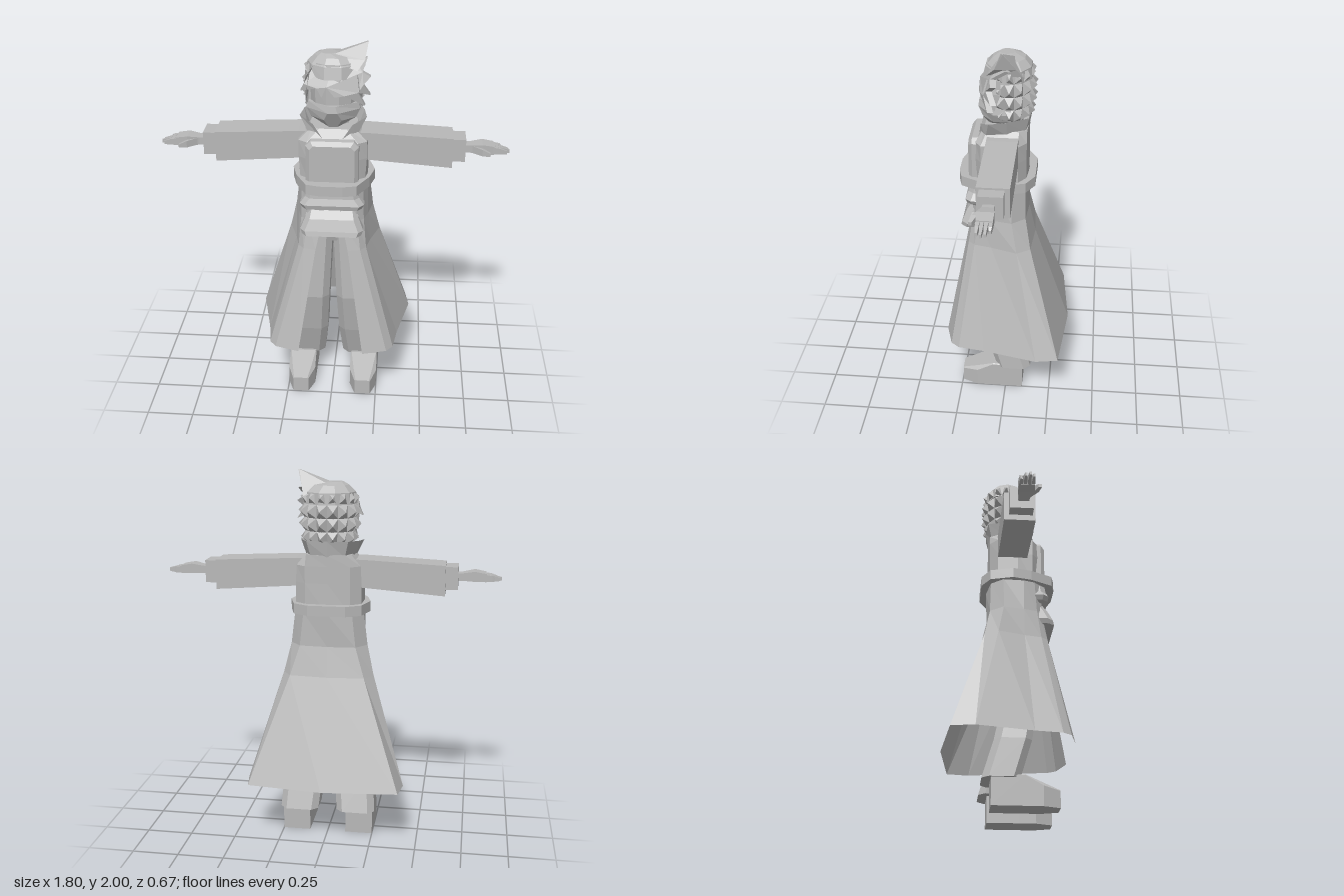
import * as THREE from 'three';

const cloth = new THREE.MeshStandardMaterial({ color: 0xb8b8b8, flatShading: true, side: THREE.DoubleSide });
cloth.name = 'plain grey';

// Skin a list of point rings; optionally close each ring and cap the ends
function loft(rings, closed = true, caps = true) {
  const n = rings[0].length, pos = [], idx = [];
  rings.forEach(r => r.forEach(p => pos.push(...p)));
  for (let j = 0; j < rings.length - 1; j++) {
    for (let i = 0; i < (closed ? n : n - 1); i++) {
      const a = j * n + i, b = j * n + (i + 1) % n;
      idx.push(a, b, b + n, a, b + n, a + n);
    }
  }
  if (caps) {
    const e = (rings.length - 1) * n;
    for (let i = 1; i < n - 1; i++) idx.push(0, i + 1, i, e, e + i, e + i + 1);
  }
  const g = new THREE.BufferGeometry();
  g.setAttribute('position', new THREE.Float32BufferAttribute(pos, 3));
  g.setIndex(idx);
  const flat = g.toNonIndexed();
  flat.computeVertexNormals();
  return flat;
}

// Mirror a half outline (front to back, ending on x = 0) into a whole one
const mirrorHalf = half => [...half.slice(0, -1).map(([x, y, z]) => [-x, y, z]), half.at(-1), ...half.slice(0, -1).reverse()];
const level = (y, half) => mirrorHalf(half.map(([x, z]) => [x, y, z]));

// Horizontal rectangle with chamfered corners
function slab(y, x0, x1, z0, z1, c) {
  return [[x0 + c, y, z1], [x1 - c, y, z1], [x1, y, z1 - c], [x1, y, z0 + c],
    [x1 - c, y, z0], [x0 + c, y, z0], [x0, y, z0 + c], [x0, y, z1 - c]].reverse();
}
// Upright rectangle across the arm
const armRing = (x, y0, y1, z0, z1) => [[x, y0, z0], [x, y1, z0], [x, y1, z1], [x, y0, z1]];
// Horizontal ellipse
function oval(y, rx, rz, zc, n = 12, xc = 0) {
  return Array.from({ length: n }, (_, i) => {
    const a = -(i + 0.5) / n * Math.PI * 2;
    return [xc + rx * Math.sin(a), y, zc + rz * Math.cos(a)];
  });
}

export function createModel() {
  const model = new THREE.Group();
  const add = (name, geo, parent = model) => {
    const m = new THREE.Mesh(geo, cloth);
    m.name = name;
    parent.add(m);
    return m;
  };

  // Long coat skirt, open at the front
  add('coatSkirt', loft([
    level(0.34, [[.175, .333], [.305, .295], [.34, .25], [.36, .11], [.425, -.18], [.405, -.30], [0, -.34]]),
    level(0.92, [[.085, .22], [.15, .205], [.18, .17], [.20, .08], [.245, -.06], [.20, -.13], [0, -.145]]),
    level(1.08, [[.05, .19], [.13, .18], [.165, .15], [.185, .08], [.207, -.03], [.15, -.10], [0, -.11]]),
    level(1.26, [[.03, .185], [.12, .18], [.16, .14], [.18, .08], [.185, -.03], [.13, -.095], [0, -.115]]),
  ], false, false));

  // Coat body
  add('torso', loft([
    level(1.26, [[.11, .165], [.165, .13], [.18, .05], [.175, -.06], [.12, -.10], [0, -.11]]),
    level(1.42, [[.13, .165], [.175, .13], [.18, .05], [.175, -.06], [.12, -.10], [0, -.105]]),
    level(1.51, [[.13, .16], [.175, .13], [.18, .05], [.17, -.06], [.12, -.10], [0, -.105]]),
    level(1.57, [[.07, .12], [.11, .10], [.12, .04], [.12, -.06], [.095, -.10], [0, -.105]]),
  ]));

  // Belt
  const belt = [[.06, .255], [.13, .237], [.19, .12], [.215, .02], [.18, -.10], [.10, -.145], [0, -.145]];
  add('belt', loft([level(1.255, belt), level(1.31, belt)]));

  // Chest plate with bevelled rim
  const plate = (z, w, y0, y1, c) => [[-w, y0, z], [w, y0, z], [w, y1 - c, z], [w - c, y1, z], [c - w, y1, z], [-w, y1 - c, z]];
  add('chestPlate', loft([plate(.11, .14, 1.30, 1.53, .03), plate(.18, .135, 1.31, 1.525, .025), plate(.20, .115, 1.31, 1.505, .02)]));

  // Two rolled pouches below the belt
  const row = (y, w, z) => [[-w, y, .14], [-w, y, z - .03], [-w + .025, y, z], [w - .025, y, z], [w, y, z - .03], [w, y, .14]];
  add('upperPouch', loft([row(1.14, .14, .18), row(1.155, .155, .212), row(1.18, .167, .218), row(1.215, .14, .205), row(1.26, .13, .2)]));
  add('lowerPouch', loft([row(1.015, .155, .245), row(1.04, .165, .238), row(1.10, .14, .215), row(1.15, .13, .18)]));

  // Flared collar, open at the front
  add('collar', loft([
    mirrorHalf([[.045, 1.52, .15], [.12, 1.53, .11], [.125, 1.55, 0], [.09, 1.56, -.09], [0, 1.56, -.105]]),
    mirrorHalf([[.10, 1.60, .135], [.17, 1.63, .09], [.155, 1.635, 0], [.11, 1.645, -.11], [0, 1.645, -.12]]),
  ], false, false));
  add('neck', loft([oval(1.50, .085, .08, 0, 8), oval(1.66, .07, .07, 0, 8)]));

  // Trouser top
  add('trouserTop', loft([slab(.93, -.06, .06, -.04, .13, .02), slab(1.0, -.13, .13, -.07, .15, .03), slab(1.25, -.15, .15, -.08, .15, .03)]));

  // Limbs: built on the left, mirrored for the right
  for (const side of [1, -1]) {
    const limbs = new THREE.Group();
    limbs.name = side > 0 ? 'leftLimbs' : 'rightLimbs';
    limbs.scale.x = side;
    model.add(limbs);

    add('sleeve', loft([armRing(.13, 1.40, 1.545, -.06, .10), armRing(.18, 1.397, 1.545, -.06, .10),
      armRing(.61, 1.365, 1.525, -.06, .10)]), limbs);
    add('cuff', loft([armRing(.58, 1.395, 1.515, -.035, .085), armRing(.675, 1.395, 1.515, -.035, .085)]), limbs);
    add('palm', loft([armRing(.66, 1.435, 1.475, .005, .06), armRing(.70, 1.437, 1.477, .005, .062),
      armRing(.76, 1.435, 1.488, -.003, .08), armRing(.82, 1.435, 1.478, -.003, .075)]), limbs);
    [.862, .892, .90, .885].forEach((tip, i) => {
      const z = -.003 + i * .02;
      add('finger', loft([armRing(.80, 1.437, 1.476, z, z + .019), armRing(.85, 1.437, 1.468, z + .001, z + .018),
        armRing(tip, 1.438, 1.455, z + .004, z + .014)]), limbs);
    });
    add('thumb', loft([armRing(.71, 1.437, 1.475, .035, .065), armRing(.76, 1.435, 1.47, .075, .10),
      armRing(.80, 1.438, 1.455, .095, .112)]), limbs);

    add('trouserLeg', loft([
      slab(.14, .052, .262, -.14, .05, .035), slab(.34, .032, .25, -.08, .11, .035),
      slab(.58, .02, .205, -.03, .155, .035), slab(.98, .002, .14, -.06, .14, .03),
    ]), limbs);

    // Wedge shoe, wide at the heel and narrow at the toe
    const shoe = (z, x0, x1, h, c) => [[x0, 0, z], [x1, 0, z], [x1, h - c, z], [x1 - c, h, z], [x0 + c, h, z], [x0, h - c, z]];
    add('shoe', loft([shoe(-.095, .10, .25, .145, .005), shoe(.07, .10, .25, .157, .005),
      shoe(.16, .10, .25, .122, .02), shoe(.245, .132, .218, .09, .005)]), limbs);
  }

  // Head and face mask
  add('head', loft([oval(1.62, .10, .10, .01), oval(1.70, .125, .125, .01), oval(1.80, .13, .125, .01), oval(1.90, .115, .11, .005)]));
  add('mask', loft([
    level(1.575, [[.02, .105], [.035, .085], [.04, .05], [0, .03]]),
    level(1.62, [[.045, .13], [.115, .07], [.12, -.02], [0, -.03]]),
    level(1.665, [[.025, .155], [.135, .07], [.135, -.02], [0, -.03]]),
    level(1.70, [[.015, .15], [.128, .07], [.128, -.02], [0, -.03]]),
  ]));

  // Ears' side locks
  for (const s of [-1, 1]) {
    add('sideLock', loft([[[s * .12, 1.85, .10], [s * .145, 1.85, .03], [s * .11, 1.85, .03]],
      [[s * .13, 1.78, .12], [s * .15, 1.78, .03], [s * .12, 1.78, .03]],
      [[s * .14, 1.69, .08], [s * .141, 1.69, .06], [s * .13, 1.69, .06]]]));
  }

  // Back hair: a grid of small four-sided spikes
  const rows = [[1.62, .84], [1.69, .98], [1.76, 1.02], [1.83, 1.0], [1.90, .84]], cols = 10, spikes = [];
  const at = (r, c, out) => {
    const k = Math.floor(r), f = r - k, [y0, s0] = rows[k], [y1, s1] = rows[Math.min(k + 1, 4)];
    const a = (c / cols - .5) * 4.3, s = s0 + (s1 - s0) * f;
    return [(.132 * s + out) * Math.sin(a), y0 + (y1 - y0) * f, -.005 - (.108 * s + out) * Math.cos(a)];
  };
  for (let r = 0; r < 4; r++) {
    for (let c = 0; c < cols; c++) {
      const tip = at(r + .5, c + .5, .034), q = [at(r, c, 0), at(r + 1, c, 0), at(r + 1, c + 1, 0), at(r, c + 1, 0)];
      q.forEach((p, i) => spikes.push(...p, ...q[(i + 1) % 4], ...tip));
    }
  }
  const spikeGeo = new THREE.BufferGeometry();
  spikeGeo.setAttribute('position', new THREE.Float32BufferAttribute(spikes, 3));
  spikeGeo.computeVertexNormals();
  add('backHairSpikes', spikeGeo);

  // Crown and the tall swept tuft
  add('hairCrown', loft([oval(1.83, .142, .13, .005, 10), oval(1.89, .135, .12, 0, 10), oval(1.925, .095, .085, 0, 10, -.005), oval(1.94, .04, .04, .01, 10, -.03)]));
  add('hairTuft', loft([
    [[-.06, 1.925, .06], [.12, 1.87, .10], [.13, 1.87, -.08], [-.04, 1.915, -.07]],
    [[.01, 1.94, .04], [.155, 1.915, .06], [.14, 1.91, -.05], [.02, 1.935, -.03]],
    [[.165, 2.0, .02], [.17, 1.998, .02], [.17, 1.998, .015], [.165, 2.0, .015]],
  ]));

  // Jagged fringe over the brow, wrapped round the forehead
  const outline = [[-.135, 1.84], [-.09, 1.90], [0, 1.90], [.10, 1.91], [.165, 1.91], [.145, 1.86], [.185, 1.835], [.15, 1.80],
    [.185, 1.74], [.125, 1.765], [.16, 1.69], [.06, 1.755], [.01, 1.75], [-.03, 1.80], [-.055, 1.745], [-.08, 1.79], [-.165, 1.76], [-.145, 1.80]];
  const fringe = new THREE.ExtrudeGeometry(new THREE.Shape(outline.map(p => new THREE.Vector2(...p))), { depth: .03, bevelEnabled: false });
  const p = fringe.attributes.position;
  for (let i = 0; i < p.count; i++) {
    p.setZ(i, p.getZ(i) + .122 - 2.2 * p.getX(i) ** 2 - 1.2 * Math.max(0, p.getY(i) - 1.84));
  }
  fringe.computeVertexNormals();
  add('fringe', fringe);

  return model;
}
